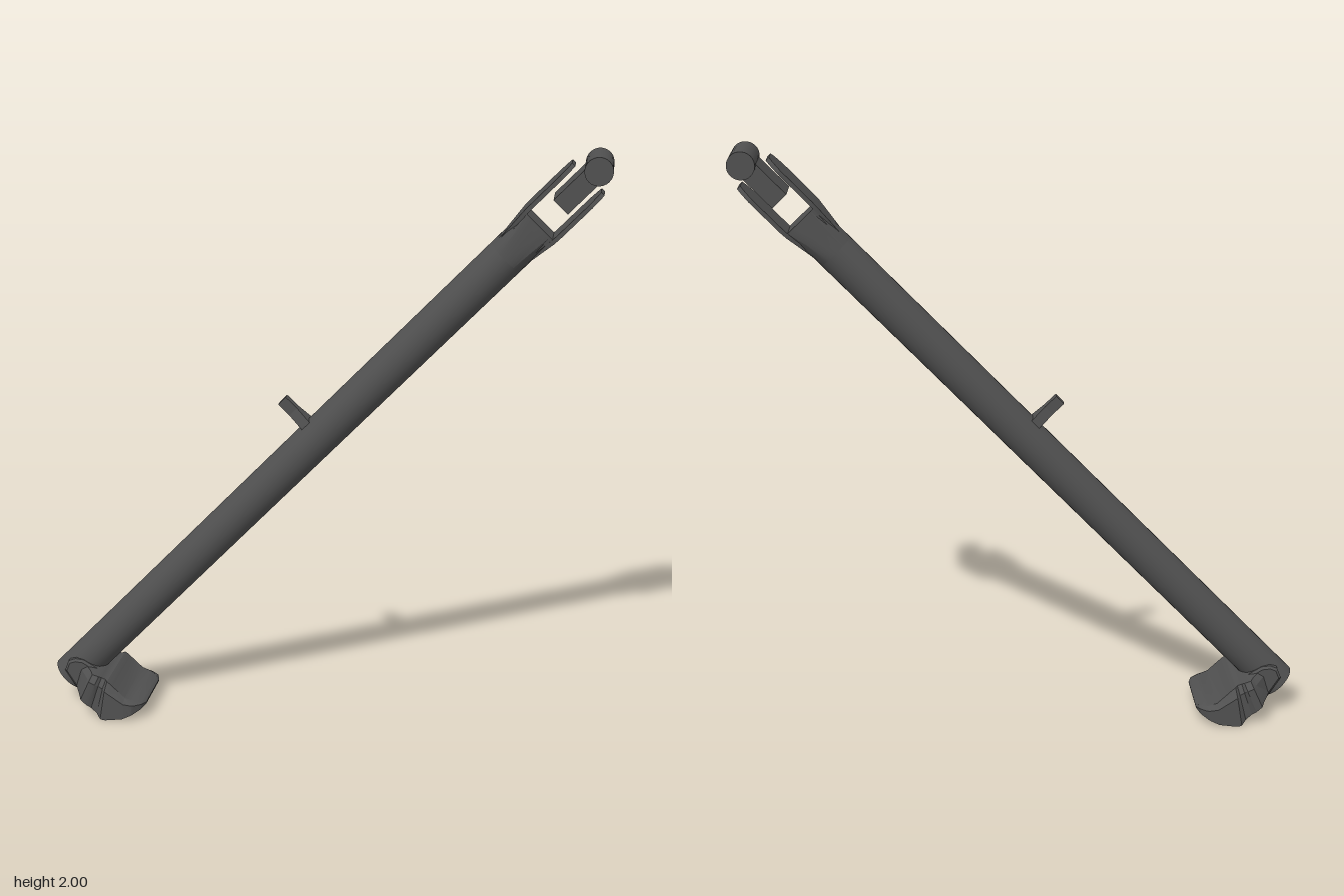
import * as THREE from 'three';
import { toCreasedNormals } from 'three/addons/utils/BufferGeometryUtils.js';

// Skin a list of rings (arrays of [x,y,z]) and close both ends
function loft(rings, crease = 0.5) {
  const n = rings[0].length;
  const tris = [];
  for (let i = 0; i < rings.length - 1; i++) {
    for (let j = 0; j < n; j++) {
      const k = (j + 1) % n;
      const [a, b, c, d] = [rings[i][j], rings[i][k], rings[i + 1][k], rings[i + 1][j]];
      tris.push([a, b, c], [a, c, d]);
    }
  }
  const cap = (ring, flip) => {
    const mid = [0, 1, 2].map((q) => ring.reduce((s, p) => s + p[q], 0) / n);
    for (let j = 0; j < n; j++) {
      const k = (j + 1) % n;
      tris.push(flip ? [mid, ring[k], ring[j]] : [mid, ring[j], ring[k]]);
    }
  };
  cap(rings[0], true);
  cap(rings[rings.length - 1], false);

  // Turn all faces outward by the sign of the enclosed volume
  const v = (p) => new THREE.Vector3(...p);
  const volume = tris.reduce((s, [a, b, c]) => s + v(a).dot(v(b).cross(v(c))), 0);
  if (volume < 0) tris.forEach((t) => t.reverse());

  const geo = new THREE.BufferGeometry();
  geo.setAttribute('position', new THREE.Float32BufferAttribute(tris.flat(2), 3));
  return toCreasedNormals(geo, crease);
}

// Extrude an outline, centred on z
function slab(points, depth, bevel = 0) {
  const shape = new THREE.Shape(points.map(([x, y]) => new THREE.Vector2(x, y)));
  const geo = new THREE.ExtrudeGeometry(shape, {
    depth: depth - 2 * bevel, bevelEnabled: bevel > 0,
    bevelSize: bevel, bevelThickness: bevel, bevelOffset: -bevel, bevelSegments: 1,
  });
  return geo.translate(0, 0, -depth / 2 + bevel);
}

export function createModel() {
  const model = new THREE.Group();
  model.name = 'sideStand';
  const steel = new THREE.MeshStandardMaterial({ color: 0x505050 });
  steel.name = 'dark steel';

  const add = (parent, name, geo) => {
    const mesh = new THREE.Mesh(geo, steel);
    mesh.name = name;
    parent.add(mesh);
    return mesh;
  };

  // Leaning leg: local y runs up the tube, local -x is its upper side
  const leg = new THREE.Group();
  leg.name = 'leg';
  leg.position.set(-0.89, 0.1, 0);
  leg.rotation.z = THREE.MathUtils.degToRad(-43.8);
  model.add(leg);

  const R = 0.066;
  add(leg, 'tube', new THREE.CylinderGeometry(R, R, 2.16, 32).translate(0, 1.08, 0));

  // Round tube squeezed into a square block below the fork
  const blockRing = (y, radius, flat) => Array.from({ length: 32 }, (_, i) => {
    const a = (i / 32) * Math.PI * 2;
    const clamp = (t) => Math.max(-flat, Math.min(flat, t));
    return [clamp(radius * Math.cos(a)), y, clamp(radius * Math.sin(a))];
  });
  add(leg, 'forkBlock', loft([
    blockRing(2.16, R, R), blockRing(2.24, 0.073, 0.063), blockRing(2.312, 0.082, 0.06),
  ]));

  // Two thin fork cheeks: [height, outer offset, half width]
  const cheek = [
    [2.2, 0.06, 0.035], [2.305, 0.071, 0.06], [2.33, 0.072, 0.062],
    [2.47, 0.072, 0.062], [2.505, 0.072, 0.048], [2.521, 0.072, 0.036],
  ];
  for (const side of [-1, 1]) {
    add(leg, side < 0 ? 'upperCheek' : 'lowerCheek', loft(cheek.map(([y, o, w]) => [
      [side * o, y, -w], [side * o, y, w], [side * (o - 0.014), y, w], [side * (o - 0.014), y, -w],
    ]), 0.3));
  }

  // Pivot tongue and cross pin
  add(leg, 'tongue', new THREE.BoxGeometry(0.064, 0.16, 0.132).translate(0, 2.483, 0));
  add(leg, 'pivotPin', new THREE.CylinderGeometry(0.045, 0.045, 0.19, 28)
    .rotateX(Math.PI / 2).translate(0, 2.568, 0));

  // Spring peg, flared towards the tube
  const peg = slab([
    [-0.035, 0.045], [0.035, 0.045], [0.015, 0.12], [0.015, 0.172], [-0.015, 0.172], [-0.015, 0.12],
  ], 0.037);
  peg.rotateX(Math.PI / 2).rotateY(Math.PI / 2).rotateX(0);
  // Outline axes become width along z and reach away from the tube
  const basis = new THREE.Matrix4().makeBasis(
    new THREE.Vector3(0, 0, 1), new THREE.Vector3(-1, 0, 0), new THREE.Vector3(0, -1, 0));
  peg.rotateX(0).rotateY(-Math.PI / 2).rotateX(-Math.PI / 2);
  add(leg, 'springPeg', peg.applyMatrix4(basis).translate(0, 1.287, 0));

  // Foot: clamp around the tube end and a hollow pad
  const foot = new THREE.Group();
  foot.name = 'foot';
  model.add(foot);
  add(foot, 'footClamp', slab([
    [-0.894, 0.143], [-0.88, 0.178], [-0.855, 0.188], [-0.825, 0.185],
    [-0.775, 0.155], [-0.805, 0.07], [-0.84, 0.058],
  ], 0.152, 0.008));

  // Pad stations: top x, y, bottom x, y, half width, recess depth share
  const pad = [
    [-0.83, 0.17, -0.855, 0.09, 0.07, 0],
    [-0.79, 0.16, -0.828, 0.075, 0.125, 0],
    [-0.78, 0.157, -0.82, 0.068, 0.145, 0],
    [-0.758, 0.15, -0.8, 0.05, 0.145, 0],
    [-0.75, 0.143, -0.785, 0.036, 0.136, 0],
    [-0.735, 0.138, -0.765, 0.018, 0.138, 0],
    [-0.727, 0.137, -0.75, 0.003, 0.152, 0],
    [-0.715, 0.128, -0.737, 0, 0.153, 0],
    [-0.71, 0.123, -0.73, 0, 0.153, 0.55],
    [-0.665, 0.08, -0.672, 0.008, 0.153, 0.55],
    [-0.635, 0.07, -0.642, 0.022, 0.15, 0.5],
    [-0.628, 0.068, -0.635, 0.025, 0.146, 0],
    [-0.605, 0.063, -0.61, 0.038, 0.125, 0],
    [-0.595, 0.056, -0.597, 0.047, 0.095, 0],
  ];
  const padRing = ([tx, ty, bx, by, w, recess]) => {
    const at = (t, z) => [tx + (bx - tx) * t, ty + (by - ty) * t, z];
    const half = [
      [0, w - 0.022], [0.22, w], [1, w], [1, w - 0.025], [1 - recess, w - 0.035],
    ];
    return [
      ...half.map(([t, z]) => at(t, z)),
      ...half.slice().reverse().map(([t, z]) => at(t, -z)),
    ];
  };
  add(foot, 'footPad', loft(pad.map(padRing), 0.45));

  return model;
}
